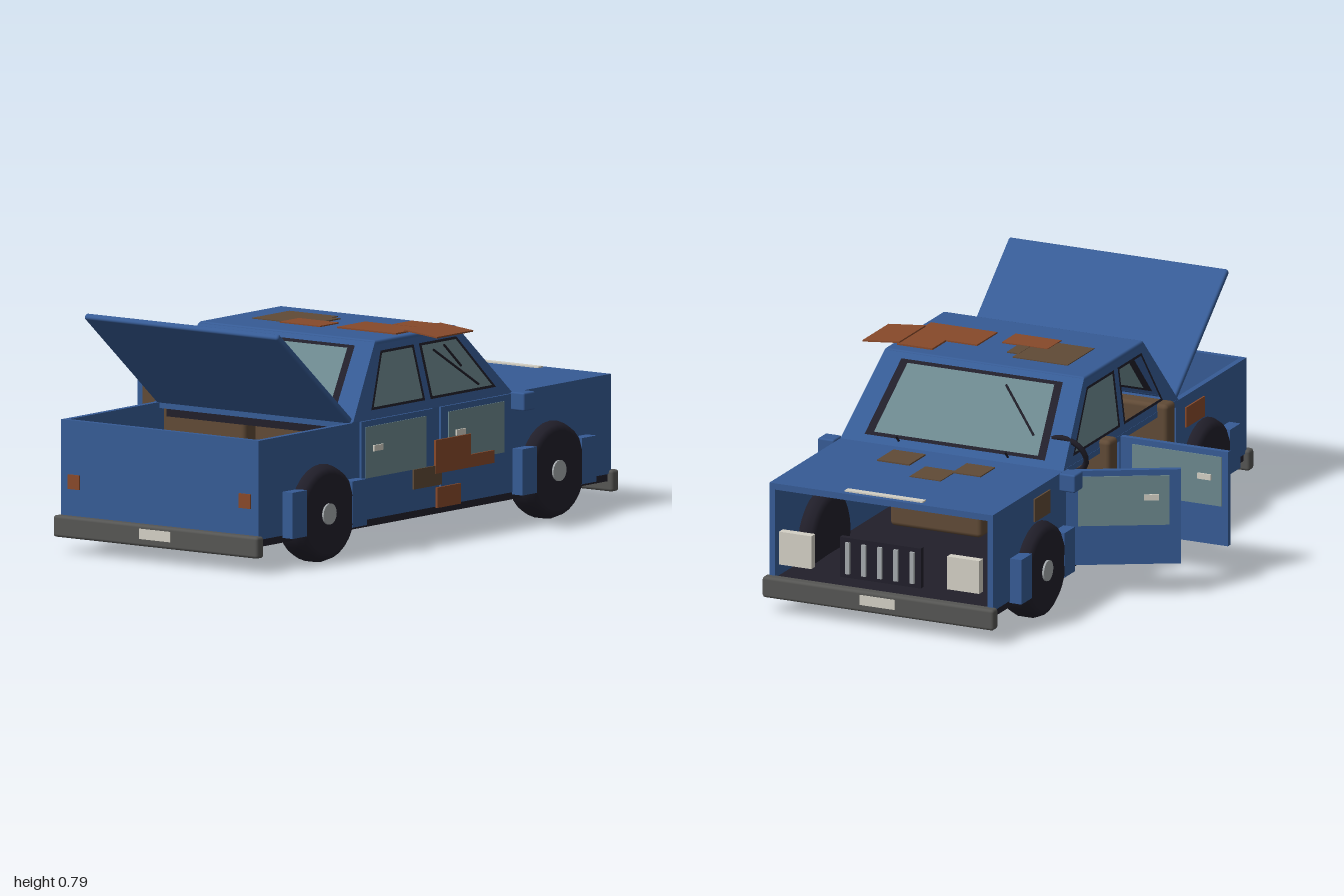
import * as THREE from 'three';
import { RoundedBoxGeometry } from 'three/addons/geometries/RoundedBoxGeometry.js';

const CX = 0.165; // centre line of the body; the open doors shift it off x = 0
const mat = (name, color) => {
  const m = new THREE.MeshStandardMaterial({ color, side: THREE.DoubleSide });
  m.name = name;
  return m;
};

export function createModel() {
  const car = new THREE.Group();
  car.name = 'car';
  const blue = mat('bluePaint', 0x365b95);
  const dark = mat('darkRubber', 0x211f2a);
  const glass = mat('glass', 0x6c888e);
  const rust = mat('orangeRust', 0x87492a);
  const brown = mat('brownRust', 0x604a36);
  const grey = mat('bumperGrey', 0x555553);
  const pale = mat('paleLens', 0xd2cfc4);
  const steel = mat('hubSteel', 0xa3a8ab);

  // Box given by its minimum and maximum on each axis
  function box(name, m, x0, x1, y0, y1, z0, z1, parent = car, r = 0) {
    const s = [x1 - x0, y1 - y0, z1 - z0];
    const geo = r ? new RoundedBoxGeometry(...s, 2, r) : new THREE.BoxGeometry(...s);
    const mesh = new THREE.Mesh(geo, m);
    mesh.position.set((x0 + x1) / 2, (y0 + y1) / 2, (z0 + z1) / 2);
    mesh.name = name;
    parent.add(mesh);
    return mesh;
  }
  // Flat surface from four-corner quads
  function quads(name, m, list) {
    const pos = [];
    for (const [a, b, c, d] of list) for (const p of [a, b, c, a, c, d]) pos.push(...p);
    const geo = new THREE.BufferGeometry();
    geo.setAttribute('position', new THREE.Float32BufferAttribute(pos, 3));
    geo.computeVertexNormals();
    const mesh = new THREE.Mesh(geo, m);
    mesh.name = name;
    car.add(mesh);
  }
  const ring = (o, i) => o.map((p, k) => [p, o[(k + 1) % 4], i[(k + 1) % 4], i[k]]);
  function shrink(loop, f) {
    const c = [0, 1, 2].map(k => loop.reduce((s, p) => s + p[k] / 4, 0));
    return loop.map(p => p.map((v, k) => c[k] + (v - c[k]) * f));
  }
  // Painted panel with a dark-framed window
  function windowPanel(name, outer, inner, glazed = true) {
    const pane = shrink(inner, 0.91);
    quads(name + 'Surround', blue, ring(outer, inner));
    quads(name + 'Trim', dark, ring(inner, pane));
    if (glazed) quads(name + 'Glass', glass, [pane]);
  }
  function rod(name, m, a, b, r) {
    const path = new THREE.LineCurve3(new THREE.Vector3(...a), new THREE.Vector3(...b));
    const mesh = new THREE.Mesh(new THREE.TubeGeometry(path, 1, r, 6), m);
    mesh.name = name;
    car.add(mesh);
  }

  // Lower shell
  box('floor', dark, -0.245, 0.575, 0.09, 0.12, -0.965, 0.965);
  box('rightWall', blue, 0.56, 0.58, 0.115, 0.45, -0.97, 0.97);
  box('leftFrontWing', blue, -0.25, -0.23, 0.115, 0.45, -0.97, -0.41);
  box('leftRearWing', blue, -0.25, -0.23, 0.115, 0.45, 0.43, 0.97);
  box('leftPillar', blue, -0.25, -0.23, 0.115, 0.45, 0, 0.03);
  box('leftSill', blue, -0.25, -0.23, 0.115, 0.135, -0.41, 0.43);
  box('leftRail', blue, -0.25, -0.23, 0.435, 0.455, -0.41, 0.43);
  box('rearPanel', blue, -0.25, 0.58, 0.115, 0.45, 0.95, 0.97);
  box('hood', blue, -0.25, 0.58, 0.43, 0.452, -0.97, -0.41);
  box('rearCowl', blue, -0.25, 0.58, 0.43, 0.452, 0.42, 0.455);
  box('parcelShelf', dark, -0.22, 0.55, 0.4, 0.43, 0.37, 0.43);
  box('dashboard', dark, -0.23, 0.56, 0.33, 0.44, -0.41, -0.34);

  // Open trunk lid
  const lid = new THREE.Group();
  lid.name = 'trunkLid';
  lid.position.set(CX, 0.45, 0.45);
  lid.rotation.x = -0.69;
  box('lidPanel', blue, -0.407, 0.407, -0.006, 0.016, 0, 0.525, lid, 0.008);
  car.add(lid);

  // Cabin, narrowing towards the roof
  const half = y => 0.415 - (y - 0.45) * 0.18;
  for (const s of [-1, 1]) {
    const side = l => l.map(([z, y]) => [CX + s * half(y), y, z]);
    const tag = s > 0 ? 'right' : 'left';
    windowPanel(tag + 'RearWindow', side([[0.45, 0.45], [0.27, 0.7], [0.04, 0.7], [0.02, 0.45]]),
      side([[0.342, 0.48], [0.247, 0.668], [0.065, 0.668], [0.045, 0.48]]), s > 0);
    windowPanel(tag + 'FrontWindow', side([[0.02, 0.45], [0.04, 0.7], [-0.18, 0.7], [-0.43, 0.45]]),
      side([[0.015, 0.48], [0.036, 0.668], [-0.17, 0.668], [-0.345, 0.48]]));
  }
  const across = (y, z, w) => [[CX - w, y, z], [CX + w, y, z]];
  function endWindow(name, zb, zt, wb, wt) {
    const loop = (u, v, a, b) => {
      const at = t => [0.45 + 0.25 * t, zb + (zt - zb) * t];
      return [...across(...at(u), a), ...across(...at(v), b).reverse()];
    };
    windowPanel(name, loop(0, 1, 0.415, 0.37), loop(u0, 0.93, wb, wt));
  }
  const u0 = 0.09;
  endWindow('windscreen', -0.43, -0.18, 0.335, 0.3);
  endWindow('backWindow', 0.45, 0.27, 0.325, 0.295);
  box('roof', blue, CX - 0.372, CX + 0.372, 0.682, 0.704, -0.182, 0.272, car, 0.008);
  rod('windscreenCrack', dark, [-0.1, 0.535, -0.35], [0.06, 0.655, -0.23], 0.004);
  rod('sideCrackLong', dark, [0.552, 0.64, -0.03], [0.574, 0.5, -0.25], 0.004);
  rod('sideCrackShort', dark, [0.55, 0.65, -0.09], [0.562, 0.57, -0.17], 0.004);
  for (const x of [-0.035, 0.37]) rod('wiper', dark, [x, 0.455, -0.4], [x, 0.485, -0.43], 0.004);

  // Doors: closed on the right, swung open on the left
  function door(name, s, hingeZ, len, angle, pane, handle) {
    const g = new THREE.Group();
    g.name = name;
    g.position.set(s > 0 ? 0.578 : -0.25, 0, hingeZ);
    g.rotation.y = angle;
    const plate = (n, m, side, a, b, y0, y1, t) => {
      const x = side * 0.01;
      box(n, m, Math.min(x, x + side * t), Math.max(x, x + side * t), y0, y1, a, b, g);
    };
    box('doorSkin', blue, -0.01, 0.01, 0.12, 0.45, 0, len, g);
    plate('doorPane', glass, s, pane[0], pane[1], 0.257, 0.43, 0.003);
    plate('doorHandle', pale, s, handle, handle + 0.05, 0.345, 0.365, 0.009);
    if (s < 0) plate('doorLining', brown, 1, 0.02, len - 0.025, 0.16, 0.44, 0.005);
    car.add(g);
  }
  for (const s of [1, -1]) {
    const open = s < 0 ? 1 : 0;
    door('frontDoor', s, -0.41, 0.385, -1.06 * open, [0.04, 0.346], 0.26);
    door('rearDoor', s, 0.015, 0.4, -Math.PI / 2 * open, [0.045, 0.377], 0.29);
  }

  // Wheels and arch blocks
  const tyreProfile = [[0.0, -0.05], [0.135, -0.057], [0.155, -0.045], [0.165, -0.02],
    [0.165, 0.02], [0.155, 0.045], [0.135, 0.057], [0, 0.05]].map(p => new THREE.Vector2(...p));
  for (const s of [-1, 1]) for (const z of [-0.633, 0.633]) {
    const wheel = new THREE.Group();
    wheel.name = 'wheel';
    wheel.position.set(CX + s * 0.4, 0.168, z);
    wheel.rotation.z = -s * Math.PI / 2;
    const tyre = new THREE.Mesh(new THREE.LatheGeometry(tyreProfile, 28), dark);
    tyre.name = 'tyre';
    const hub = new THREE.Mesh(new THREE.CylinderGeometry(0.036, 0.036, 0.012, 16), steel);
    hub.name = 'hub';
    hub.position.y = 0.053;
    wheel.add(tyre, hub);
    car.add(wheel);
    for (const e of [-1, 1]) {
      const x = CX + s * 0.435, c = z + e * 0.164;
      box('archBlock', blue, x - 0.022, x + 0.022, 0.107, 0.263, c - 0.04, c + 0.04);
    }
  }

  // Mirrors, bumpers, plates and lamps
  for (const s of [-1, 1]) {
    const x = CX + s * 0.448;
    box('mirror', blue, x - 0.03, x + 0.03, 0.395, 0.457, -0.472, -0.41, car, 0.006);
    const lamp = CX + s * 0.36;
    box('tailLamp', rust, lamp - 0.024, lamp + 0.024, 0.218, 0.267, 0.965, 0.976);
    const head = CX + s * 0.312;
    box('headlamp', pale, head - 0.06, head + 0.06, 0.175, 0.29, -0.985, -0.955);
    box('bumper', grey, -0.265, 0.595, 0.055, 0.128, s * 0.978 - 0.02, s * 0.978 + 0.02, car, 0.01);
    box('numberPlate', pale, 0.1, 0.23, 0.08, 0.115, s * 0.998 - 0.002, s * 0.998 + 0.002);
  }
  box('grille', dark, 0.015, 0.315, 0.16, 0.3, -0.975, -0.955);
  for (let i = 0; i < 5; i++) {
    const x = 0.045 + i * 0.06;
    box('grilleBar', steel, x - 0.008, x + 0.008, 0.175, 0.285, -0.984, -0.974);
  }
  box('hoodStrip', pale, 0.02, 0.31, 0.451, 0.457, -0.95, -0.925);

  // Seats, set towards the open side
  for (const z of [-0.34, 0.1]) for (const x of [-0.285, 0.1]) {
    box('seatCushion', brown, x, x + 0.34, 0.14, 0.265, z, z + 0.26, car, 0.015);
    box('seatBack', brown, x, x + 0.34, 0.25, 0.48, z + 0.19, z + 0.26, car, 0.015);
  }
  const steering = new THREE.Mesh(new THREE.TorusGeometry(0.075, 0.01, 6, 20), dark);
  steering.name = 'steeringWheel';
  steering.position.set(-0.2, 0.47, -0.31);
  steering.rotation.x = -0.45;
  car.add(steering);

  // Rust patches: x0, x1, z0, z1 on the roof and hood
  const flat = (m, y, list) => list.forEach(([a, b, c, d], i) =>
    box('rustPatch', m, a, b, y, y + 0.004 + i * 0.001, c, d));
  flat(brown, 0.703, [[-0.1, 0.105, -0.09, 0.115], [0.1, 0.145, -0.05, 0.08]]);
  flat(rust, 0.705, [[0.035, 0.205, 0.035, 0.14], [0.265, 0.512, -0.03, 0.125], [0.38, 0.512, -0.135, -0.03]]);
  box('looseRustSheet', rust, 0.505, 0.643, 0.704, 0.709, -0.13, 0.07).rotation.z = -0.1;
  flat(brown, 0.451, [[0.07, 0.185, -0.71, -0.59], [-0.03, 0.075, -0.61, -0.5], [0.24, 0.36, -0.6, -0.475]]);

  // Rust patches on the sides: x, z0, z1, y0, y1
  for (const [m, x, z0, z1, y0, y1] of [
    [rust, 0.594, -0.177, 0.016, 0.23, 0.343], [rust, 0.594, -0.305, -0.177, 0.23, 0.273],
    [rust, 0.592, -0.123, 0.005, 0.113, 0.182], [brown, 0.591, -0.02, 0.134, 0.19, 0.257],
    [brown, -0.252, -0.66, -0.54, 0.34, 0.42], [rust, -0.252, 0.5, 0.64, 0.34, 0.41],
  ]) box('sideRust', m, x - 0.004, x + 0.004, y0, y1, z0, z1);

  return car;
}
